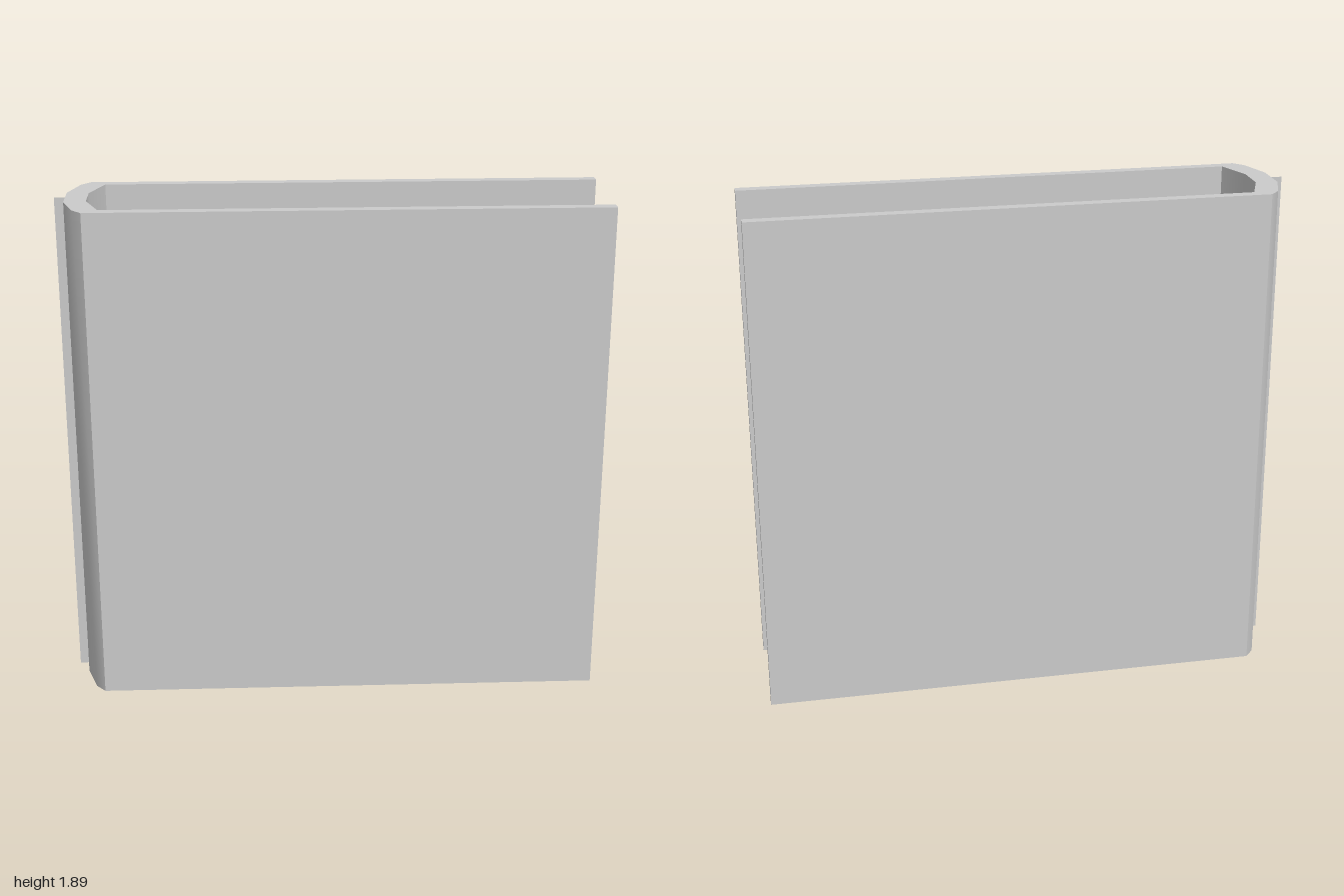
import * as THREE from 'three';
import { toCreasedNormals } from 'three/addons/utils/BufferGeometryUtils.js';

const HEIGHT = 1.89;
const PAGE_BOTTOM = 0.14, PAGE_TOP = 1.75, PAGE_FRONT = 0.86;
const PAGE_HALF = 0.193;

const material = new THREE.MeshStandardMaterial({ color: 0xcccccc });
const sheetMaterial = new THREE.MeshStandardMaterial({ color: 0xcccccc, side: THREE.DoubleSide });

function addMesh(group, name, geometry, mat = material) {
  const mesh = new THREE.Mesh(geometry, mat);
  mesh.name = name;
  group.add(mesh);
}

// Mirror half of a plan outline in z to close it
const mirrored = (half) => [...half, ...half.map(([x, z]) => [x, -z]).reverse()];

// Inner curve of the spine, followed by the page block
const spineX = (z) => -0.88 + 0.05 * Math.max(0, (Math.abs(z) - 0.06) / (PAGE_HALF - 0.06));

// Two boards joined by a faceted round spine, as one U-shaped plan
function coverGeometry() {
  const outer = [[1, 0.233], [-0.885, 0.233], [-0.92, 0.193], [-0.96, 0.07]];
  const inner = [[1, PAGE_HALF], [-0.83, PAGE_HALF], [-0.88, 0.06]];
  const plan = [...mirrored(outer), ...mirrored(inner).reverse()];
  const shape = new THREE.Shape(plan.map(([x, z]) => new THREE.Vector2(x, z)));
  const geometry = new THREE.ExtrudeGeometry(shape, { depth: HEIGHT, bevelEnabled: false });
  geometry.rotateX(Math.PI / 2).translate(0, HEIGHT, 0);
  return toCreasedNormals(geometry, 0.6);
}

// Page block: end profile with a slightly wavy foot, run from spine to fore edge
function pageGeometry() {
  const profile = [];
  for (const z of [-PAGE_HALF, -0.06, 0.06, PAGE_HALF]) profile.push([z, PAGE_TOP]);
  for (let i = 0; i <= 12; i++) {
    const z = PAGE_HALF * (1 - i / 6);
    const wave = z > 0 ? 0.005 * Math.sin(z * 60) : 0;
    profile.push([z, PAGE_BOTTOM + wave]);
  }
  const shape = new THREE.Shape(profile.map(([z, y]) => new THREE.Vector2(-z, y)));
  const geometry = new THREE.ExtrudeGeometry(shape, { depth: 1, bevelEnabled: false });
  geometry.rotateY(Math.PI / 2);
  const p = geometry.attributes.position;
  for (let i = 0; i < p.count; i++) {
    p.setX(i, p.getX(i) > 0.5 ? PAGE_FRONT : spineX(p.getZ(i)));
  }
  return toCreasedNormals(geometry, 0.5);
}

// Loose sheet standing proud at the fore edge and tapering back into the block
function sheetGeometry(z, edge, lift) {
  const shape = new THREE.Shape();
  shape.moveTo(-0.8, edge).lineTo(PAGE_FRONT, edge).lineTo(PAGE_FRONT, edge + lift);
  shape.closePath();
  return new THREE.ShapeGeometry(shape).translate(0, 0, z);
}

export function createModel() {
  const book = new THREE.Group();
  book.name = 'book';
  addMesh(book, 'cover', coverGeometry());
  addMesh(book, 'pageBlock', pageGeometry());

  // Loose sheets at the head and foot
  for (const z of [0.16, 0.06]) addMesh(book, 'looseSheetTop', sheetGeometry(z, PAGE_TOP, 0.03), sheetMaterial);
  for (const z of [-0.06, -0.14]) addMesh(book, 'looseSheetBottom', sheetGeometry(z, PAGE_BOTTOM, -0.03), sheetMaterial);

  // Thin fin along the spine
  addMesh(book, 'spineFin', new THREE.PlaneGeometry(0.05, HEIGHT).translate(-0.975, HEIGHT / 2, 0), sheetMaterial);
  return book;
}
